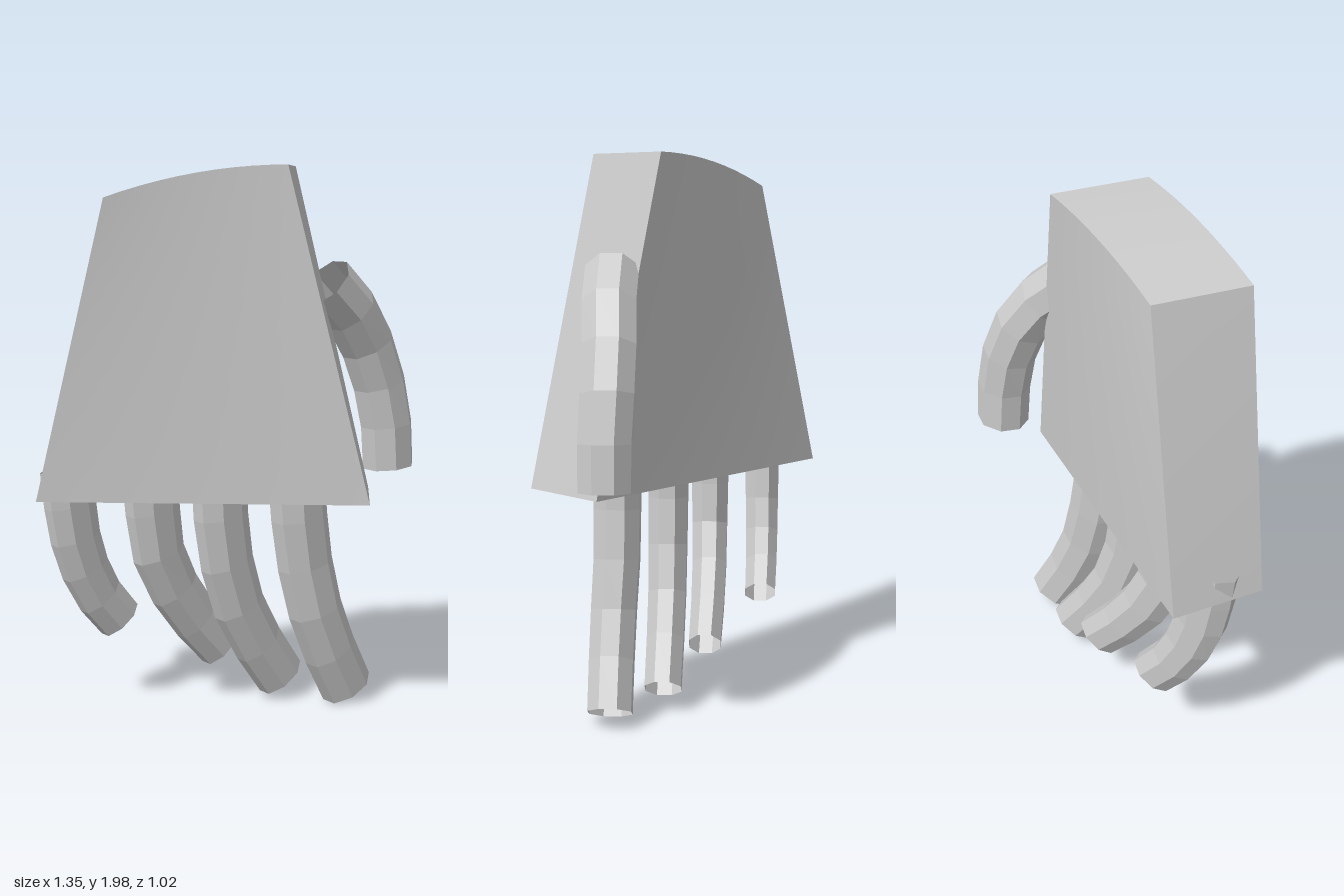
import * as THREE from 'three';

const flat = new THREE.MeshStandardMaterial({ color: 0xcccccc, flatShading: true, side: THREE.DoubleSide });
const smooth = new THREE.MeshStandardMaterial({ color: 0xcccccc });

// Tapered block, slightly twisted, with a top that arches up towards the thumb
function palm() {
  const geo = new THREE.BoxGeometry(1, 1, 1, 10, 8, 1);
  // [x, z] corners: back-far, back-near, front-far, front-near
  const low = [[-0.46, -0.51], [0.44, 0.255], [-0.68, -0.25], [0.215, 0.51]];
  const high = [[-0.265, -0.3], [0.255, 0.045], [-0.51, -0.05], [0.01, 0.3]];
  const mix = THREE.MathUtils.lerp;
  const p = geo.attributes.position;
  for (let i = 0; i < p.count; i++) {
    const s = p.getX(i) + 0.5, t = p.getY(i) + 0.5, w = p.getZ(i) + 0.5;
    const at = (c, k) => mix(mix(c[0][k], c[1][k], s), mix(c[2][k], c[3][k], s), w);
    const top = 2 - 0.11 * (1 - s) ** 2;
    p.setXYZ(i, mix(at(low, 0), at(high, 0), t), mix(0.83, top, t), mix(at(low, 1), at(high, 1), t));
  }
  geo.computeVertexNormals();
  const mesh = new THREE.Mesh(geo, smooth);
  mesh.name = 'palm';
  return mesh;
}

// Open eight-sided tube along a path; a = half width in the bend plane, b = half depth in z
function finger(name, points, a, b, taper, rings = 5, sides = 8) {
  const curve = new THREE.CatmullRomCurve3(points.map(([x, y, z]) => new THREE.Vector3(x, y, z)));
  const pos = [], index = [];
  for (let i = 0; i <= rings; i++) {
    const t = i / rings, c = curve.getPointAt(t), d = curve.getTangentAt(t);
    const k = THREE.MathUtils.lerp(1, taper, t);
    const side = new THREE.Vector2(-d.y, d.x).normalize();
    for (let j = 0; j < sides; j++) {
      const ang = ((j + 0.5) / sides) * Math.PI * 2;
      const u = Math.cos(ang) * a * k, v = Math.sin(ang) * b * k;
      pos.push(c.x + side.x * u, c.y + side.y * u, c.z + v);
      if (i < rings) {
        const n = (j + 1) % sides, r = i * sides, q = r + sides;
        index.push(r + j, r + n, q + j, r + n, q + n, q + j);
      }
    }
  }
  const geo = new THREE.BufferGeometry();
  geo.setAttribute('position', new THREE.Float32BufferAttribute(pos, 3));
  geo.setIndex(index);
  geo.computeVertexNormals();
  const mesh = new THREE.Mesh(geo, flat);
  mesh.name = name;
  return mesh;
}

export function createModel() {
  const hand = new THREE.Group();
  hand.name = 'hand';
  hand.add(
    palm(),
    finger('thumb', [[0.26, 1.59, 0.21], [0.4, 1.46, 0.21], [0.5, 1.3, 0.2], [0.56, 1.1, 0.21], [0.58, 0.89, 0.21]], 0.106, 0.1, 0.95),
    finger('indexFinger', [[0.13, 0.93, 0.21], [0.14, 0.8, 0.21], [0.175, 0.57, 0.21], [0.24, 0.33, 0.22], [0.375, 0.065, 0.22]], 0.114, 0.09, 0.92),
    finger('middleFinger', [[-0.09, 0.93, 0.04], [-0.085, 0.8, 0.04], [-0.06, 0.6, 0.04], [0.02, 0.36, 0.04], [0.195, 0.095, 0.045]], 0.112, 0.08, 0.88),
    finger('ringFinger', [[-0.29, 0.93, -0.11], [-0.28, 0.8, -0.11], [-0.25, 0.6, -0.11], [-0.14, 0.4, -0.11], [0.02, 0.21, -0.1]], 0.112, 0.077, 0.82),
    finger('littleFinger', [[-0.515, 0.92, -0.31], [-0.505, 0.8, -0.31], [-0.475, 0.63, -0.31], [-0.405, 0.46, -0.31], [-0.3, 0.325, -0.305]], 0.104, 0.073, 0.86),
  );
  return hand;
}
